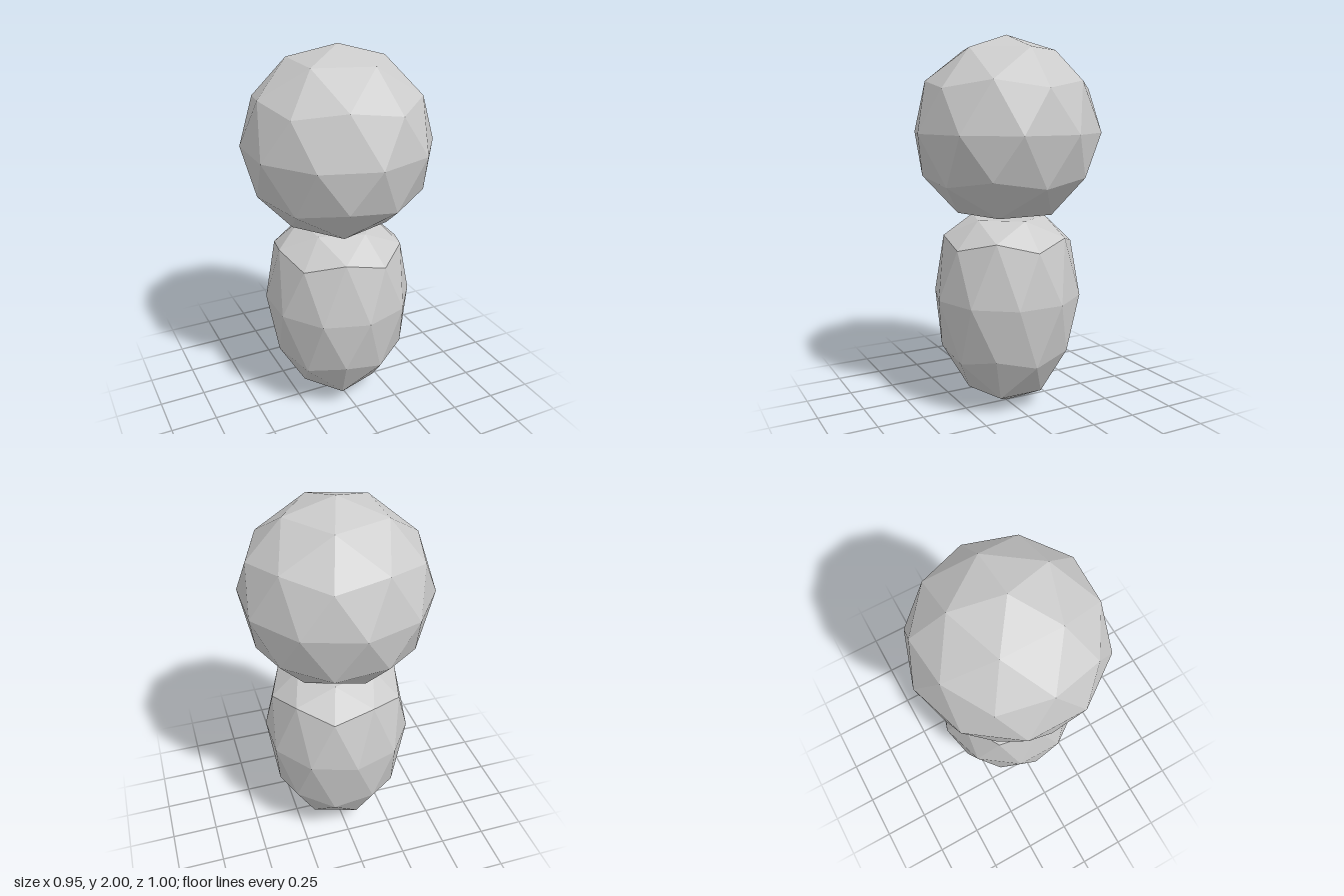
import * as THREE from 'three';

const material = new THREE.MeshStandardMaterial({ color: 0xcccccc, flatShading: true });

// Faceted ball with one vertex at each pole, stretched, lifted and flattened between minY and maxY
function facetedBall(name, radius, halfHeight, centerY, minY, maxY) {
  const geometry = new THREE.IcosahedronGeometry(1, 1);
  geometry.rotateZ(-Math.atan(2 / (1 + Math.sqrt(5))));
  geometry.scale(radius, halfHeight, radius);
  geometry.translate(0, centerY, 0);
  const pos = geometry.attributes.position;
  for (let i = 0; i < pos.count; i++) {
    pos.setY(i, THREE.MathUtils.clamp(pos.getY(i), minY, maxY));
  }
  geometry.computeVertexNormals();
  const mesh = new THREE.Mesh(geometry, material);
  mesh.name = name;
  return mesh;
}

export function createModel() {
  const group = new THREE.Group();
  group.name = 'figure';
  // Round head, its underside pressed nearly flat
  group.add(facetedBall('head', 0.5, 0.5, 1.5, 1.063, 2));
  // Egg-shaped body, pointed below and flat on top
  group.add(facetedBall('body', 0.4, 0.626, 0.628, 0, 1.05));
  return group;
}
